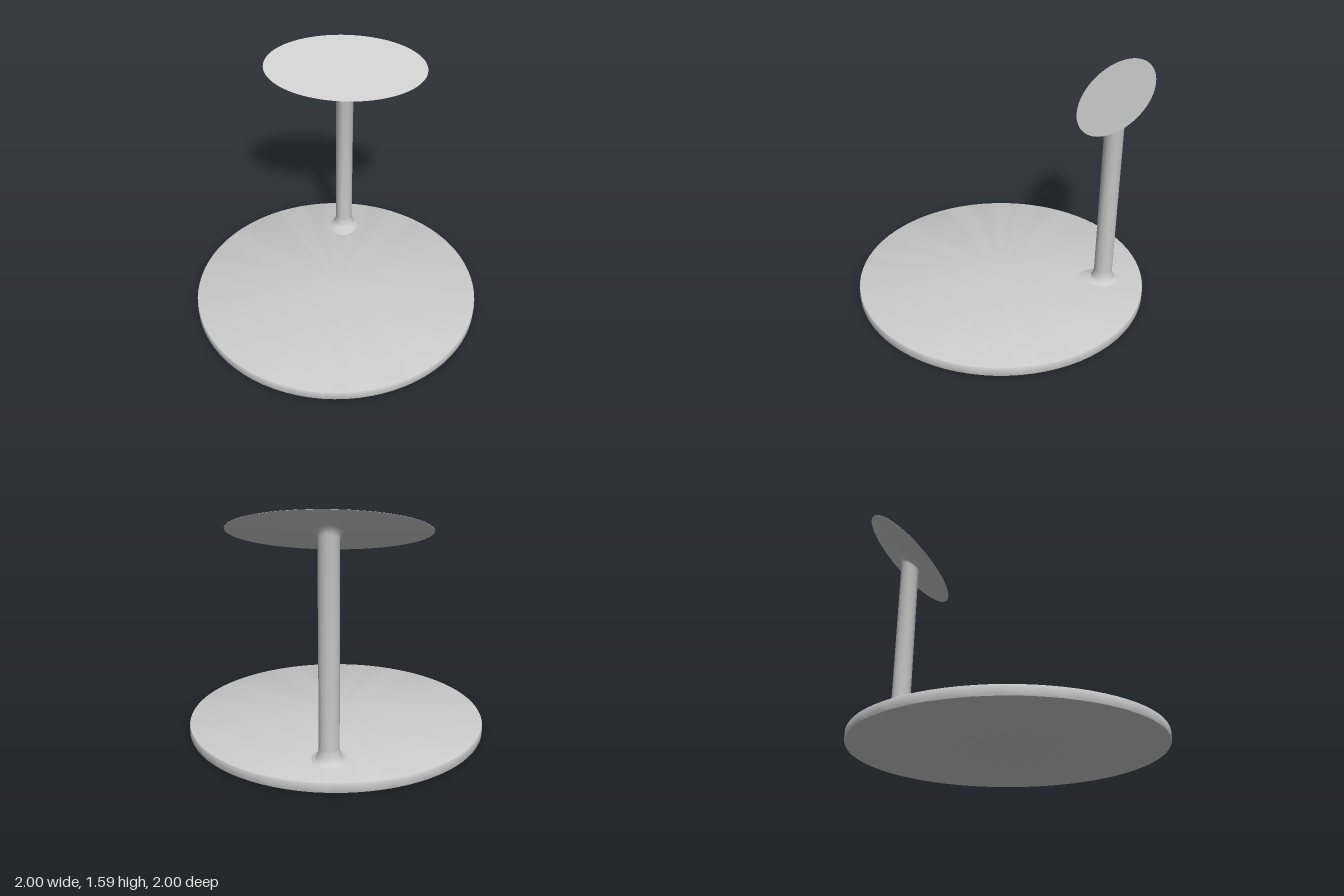
import * as THREE from 'three';
import { toCreasedNormals } from 'three/addons/utils/BufferGeometryUtils.js';

const POLE_Z = -0.722, POLE_R = 0.0625;
const SLOPE = 0.63, TOP_Y = 1.443, TOP_Z = -0.71;

const material = new THREE.MeshStandardMaterial({ color: 0xcccccc });

function addMesh(group, name, geometry) {
  const mesh = new THREE.Mesh(toCreasedNormals(geometry, 0.6), material);
  mesh.name = name;
  group.add(mesh);
  return mesh;
}

const lathe = (points, segments) =>
  new THREE.LatheGeometry(points.map(([x, y]) => new THREE.Vector2(x, y)), segments);

// Skin over rings listed from top to bottom: { y, r, front, tilted }.
// A tilted ring follows the table top's slope, with y as the offset below it.
function loft(rings, segments) {
  const geometry = new THREE.CylinderGeometry(1, 1, 1, segments, rings.length - 1, true);
  const pos = geometry.attributes.position;
  for (let i = 0; i < pos.count; i++) {
    const { y, r, front = r, tilted } = rings[Math.floor(i / (segments + 1))];
    const z = POLE_Z + pos.getZ(i) * (pos.getZ(i) > 0 ? front : r);
    const lift = tilted ? TOP_Y - (z - TOP_Z) * SLOPE : 0;
    pos.setXYZ(i, pos.getX(i) * r, y + lift, z);
  }
  return geometry;
}

export function createModel() {
  const group = new THREE.Group();
  group.name = 'pedestalTable';

  // Round floor plate with softened rims
  addMesh(group, 'base', lathe([
    [0, 0], [0.99, 0], [0.997, 0.003], [1, 0.01],
    [1, 0.057], [0.997, 0.064], [0.99, 0.067], [0, 0.067],
  ], 80));

  // Foot collar, spreading further towards the front
  addMesh(group, 'footCollar', loft([
    { y: 0.145, r: POLE_R + 0.001 },
    { y: 0.115, r: 0.067 },
    { y: 0.09, r: 0.077, front: 0.08 },
    { y: 0.081, r: 0.083, front: 0.105 },
    { y: 0.074, r: 0.095, front: 0.14 },
    { y: 0.066, r: 0.11, front: 0.165 },
  ], 48));

  // Pole, cut along the slope and flared where it meets the table top
  addMesh(group, 'pole', loft([
    { y: -0.012, r: 0.115, tilted: true },
    { y: -0.022, r: 0.088, tilted: true },
    { y: -0.034, r: 0.07, tilted: true },
    { y: -0.055, r: POLE_R, tilted: true },
    { y: 0.067, r: POLE_R },
  ], 48));

  // Tilted oval top: flat above, slightly domed below, thin at the rim
  const top = addMesh(group, 'tableTop', lathe([
    [0, -0.02], [0.35, -0.017], [0.7, -0.01], [0.95, -0.004], [1, -0.001], [1, 0], [0, 0],
  ], 80).scale(0.58, 1, 0.272));
  top.rotation.x = Math.atan(SLOPE);
  top.position.set(0, TOP_Y, TOP_Z);

  return group;
}
